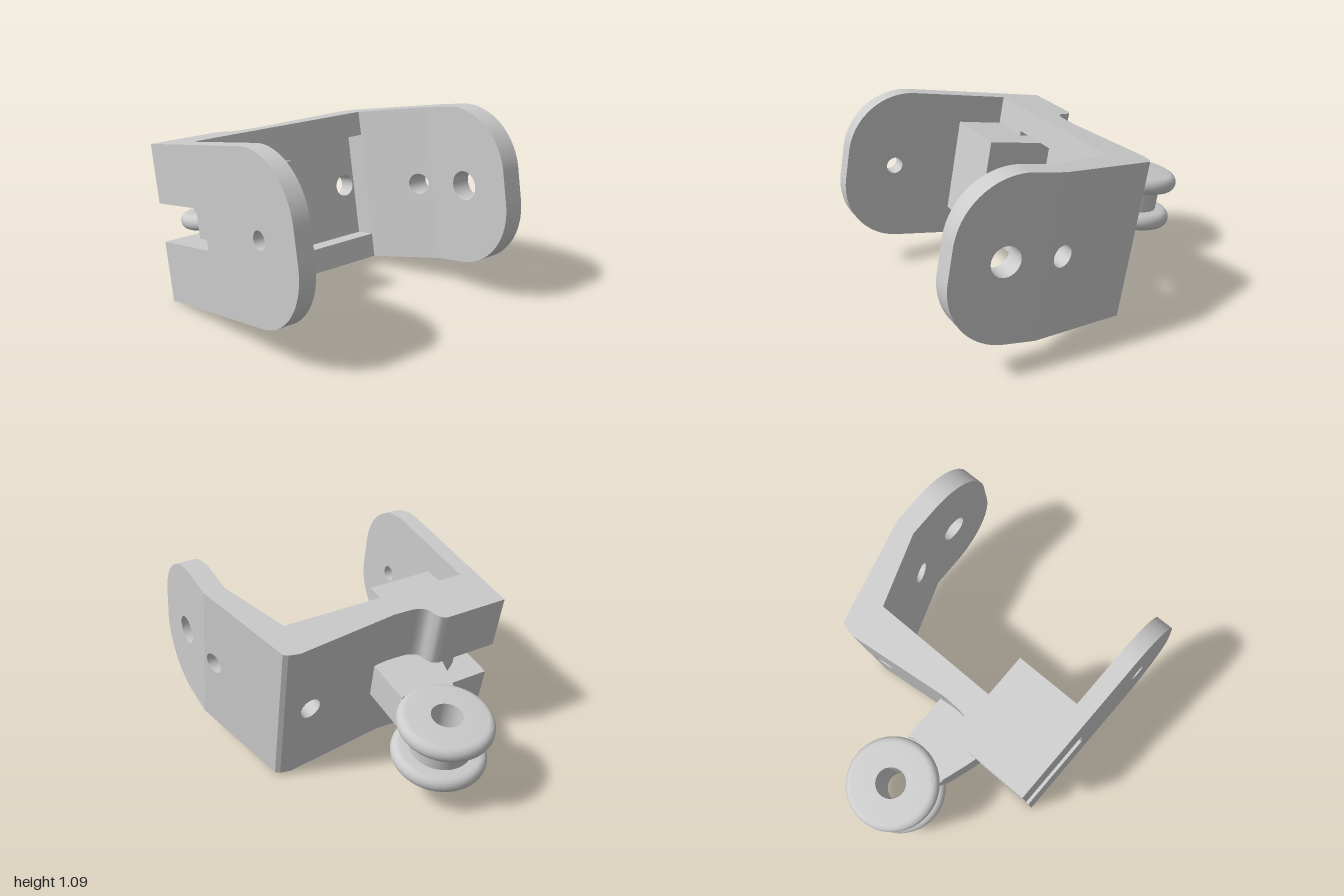
import * as THREE from 'three';
import { toCreasedNormals } from 'three/addons/utils/BufferGeometryUtils.js';

const material = new THREE.MeshStandardMaterial({ color: 0xcccccc });
const H = 0.918, MID = H / 2, SLOT_LOW = 0.352, SLOT_TOP = 0.576;

const shapeOf = pts => new THREE.Shape(pts.map(([x, y]) => new THREE.Vector2(x, y)));

function addHole(shape, x, y, r) {
  const hole = new THREE.Path();
  hole.absarc(x, y, r, 0, Math.PI * 2, true);
  shape.holes.push(hole);
  return shape;
}

const extrude = (shape, depth) =>
  new THREE.ExtrudeGeometry(shape, { depth, bevelEnabled: false, curveSegments: 20 });

// Plan outline of [x, z] points, raised from y0 to y1
function prism(plan, y0, y1) {
  const geo = extrude(shapeOf(plan.map(([x, z]) => [x, -z])), y1 - y0);
  return geo.rotateX(-Math.PI / 2).translate(0, y0, 0);
}

// Move every vertex by a rule and refresh the normals
function warp(geo, rule) {
  const p = geo.attributes.position;
  for (let i = 0; i < p.count; i++) p.setXYZ(i, ...rule(p.getX(i), p.getY(i), p.getZ(i)));
  geo.computeVertexNormals();
  return geo;
}

// Plate from x0 to a rounded far end
function plateShape(x0) {
  const s = new THREE.Shape(), end = 1.29, r = 0.37;
  s.moveTo(x0, 0);
  s.lineTo(end - r, 0);
  s.absarc(end - r, r, r, -Math.PI / 2, 0, false);
  s.absarc(end - r, H - r, r, 0, Math.PI / 2, false);
  s.lineTo(x0, H);
  return s;
}

// Points on a circle around the roller axis, between two z values
const AXIS_X = -0.42, AXIS_Z = 0.125;
function rollerArc(r, zFrom, zTo) {
  const a = Math.asin((zFrom - AXIS_Z) / r), b = Math.asin((zTo - AXIS_Z) / r);
  return Array.from({ length: 13 }, (_, i) => {
    const t = a + (b - a) * i / 12;
    return [AXIS_X + r * Math.cos(t), AXIS_Z + r * Math.sin(t)];
  });
}

export function createModel() {
  const model = new THREE.Group();
  const body = new THREE.Group();
  body.name = 'tiltedBracket';
  body.rotation.z = 0.199;
  body.position.set(-0.2, 0.005, 0);
  model.add(body);
  const add = (name, geo) => {
    const mesh = new THREE.Mesh(geo, material);
    mesh.name = name;
    body.add(mesh);
    return mesh;
  };

  // Outer face of the cross wall, with its S-shaped step
  const outer = z => 0.07 + 0.116 * (z + 0.53);
  const step = new THREE.SplineCurve([[0.143, 0.1], [0.14, 0.21], [0.128, 0.265], [0.1, 0.302],
    [0.05, 0.317], [0.018, 0.335], [0, 0.37]].map(p => new THREE.Vector2(...p)))
    .getPoints(24).map(p => [Math.max(0, p.x), p.y]);
  const corner = [[0.306, -0.672], [0.1, -0.62], [0.083, -0.595], [0.07, -0.53]];

  // Cross wall: full lips above and below a shallow pocket
  const full = [...corner, ...step, [0, 0.675], [0.306, 0.675]];
  add('lowerLip', prism(full, 0, 0.145));
  add('upperLip', prism(full, 0.775, H));
  add('wallCorner', prism([...corner, [outer(-0.505), -0.505], [0.306, -0.505]], 0.145, 0.775));
  const solidEnd = [[outer(0.05), 0.05], ...step, [0, 0.675], [0.306, 0.675], [0.306, 0.4], [0.18, 0.4], [0.18, 0.05]];
  add('lowerWallEnd', prism(solidEnd, 0.145, SLOT_LOW));
  add('upperWallEnd', prism(solidEnd, SLOT_TOP, 0.775));

  // Thin pocket floor with a round hole
  const floor = addHole(shapeOf([[-0.05, 0.145], [0.505, 0.145], [0.505, 0.775], [-0.05, 0.775]]), 0.43, 0.462, 0.065);
  add('pocketFloor', warp(extrude(floor, 1), (a, b, c) => [c < 0.5 ? outer(-a) : 0.18, b, -a]));

  // Block holding the arm, slotted at mid height
  const block = x0 => [[x0, 0.245], [0.59, 0.245], [0.59, 0.675], [x0, 0.675]];
  add('lowerArmBlock', prism(block(0.18), 0.177, SLOT_LOW));
  add('armBlockEnd', prism(block(0.484), SLOT_LOW, SLOT_TOP));
  add('upperArmBlock', prism(block(0.18), SLOT_TOP, 0.748));

  // Front plate with open slot and hole
  const front = plateShape(0);
  front.lineTo(0, SLOT_TOP);
  front.lineTo(0.484, SLOT_TOP);
  front.lineTo(0.484, SLOT_LOW);
  front.lineTo(0, SLOT_LOW);
  addHole(front, 0.99, MID, 0.05);
  add('frontPlate', extrude(front, 0.1).translate(0, 0, 0.675));

  // Back plate: flat rounded end and slanted part
  const back = addHole(plateShape(0.735), 0.99, MID, 0.085);
  add('backPlate', extrude(back, 0.125).translate(0, 0, -0.78));
  const slant = addHole(shapeOf([[0.306, 0], [0.735, 0], [0.735, H], [0.306, H]]), 0.65, MID, 0.062);
  add('slantedBackPlate', warp(extrude(slant, 1), (x, y, c) =>
    [x, y, c < 0.5 ? -0.62 - 0.252 * (x - 0.1) : -0.505 - 0.35 * (x - 0.306)]));

  // Arm cut round the roller flanges, with a neck reaching the hub
  add('arm', prism([...rollerArc(0.285, 0.33, 0.01), [0.18, 0.01], [0.18, 0.25], [0.484, 0.25],
    [0.484, 0.63], [0.15, 0.63], [0, 0.4], [-0.07, 0.38]], SLOT_LOW, SLOT_TOP));
  add('armNeck', prism([...rollerArc(0.182, 0.28, 0.01), [-0.1, 0.01], [-0.1, 0.33], [-0.22, 0.33]], 0.395, 0.527));

  // Pivot pin head
  const pin = new THREE.Shape();
  pin.absarc(0, 0, 0.07, 0, Math.PI * 2, false);
  addHole(pin, 0, 0, 0.024);
  add('pivotPin', extrude(pin, 0.02).translate(0.319, 0.464, 0.625));

  // Roller: hub between two rounded flanges, with a bore
  const flange = y => Array.from({ length: 13 }, (_, i) => {
    const t = -Math.PI / 2 + Math.PI * i / 12;
    return [0.23 + 0.045 * Math.cos(t), y + 0.05 * Math.sin(t)];
  });
  const profile = [[0.09, 0.29], ...flange(0.34), [0.18, 0.39], [0.18, 0.53], ...flange(0.58), [0.09, 0.63], [0.09, 0.29]];
  const roller = new THREE.LatheGeometry(profile.map(p => new THREE.Vector2(...p)), 48);
  add('roller', toCreasedNormals(roller, 0.6)).position.set(AXIS_X, 0, AXIS_Z);

  return model;
}
